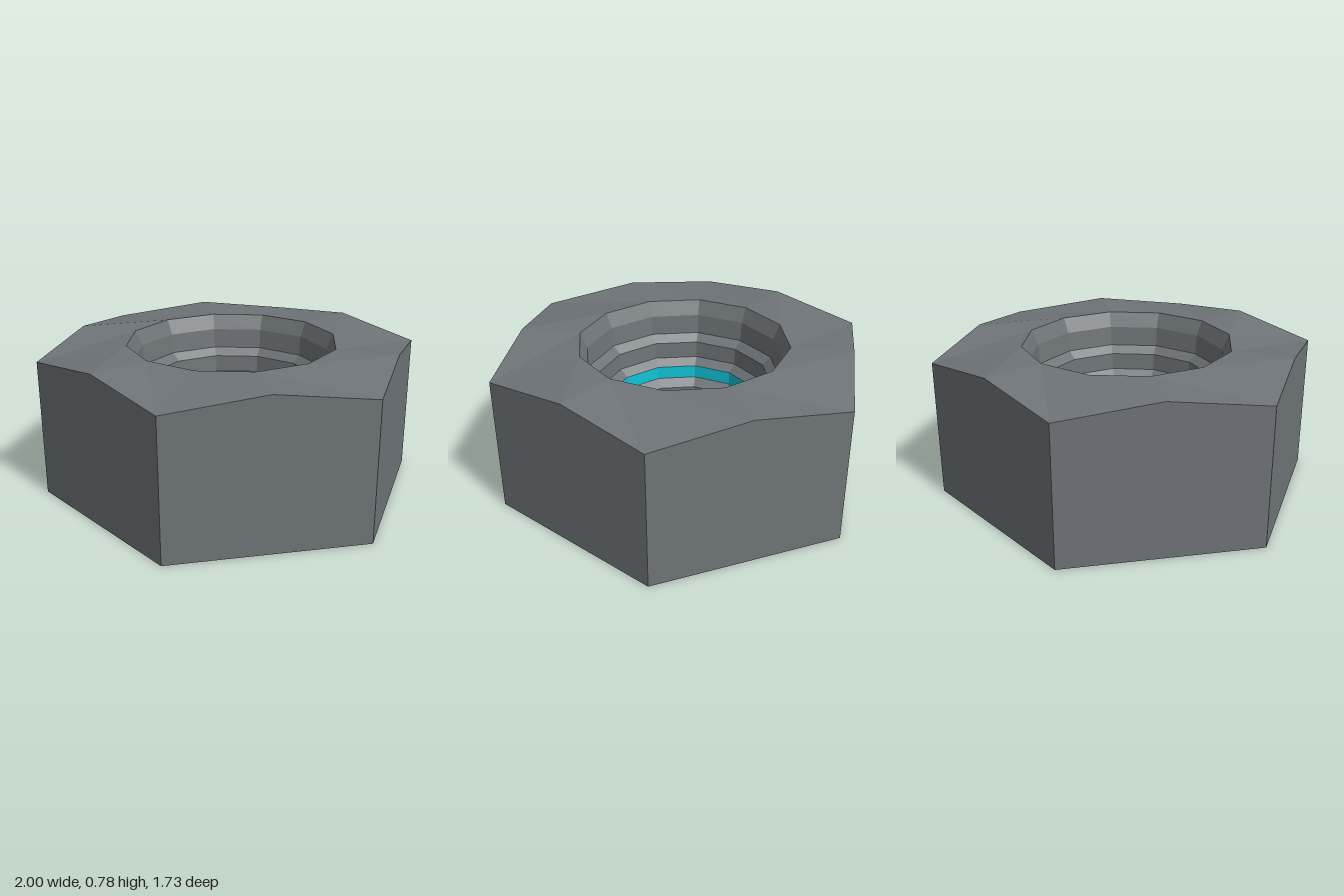
import * as THREE from 'three';

const SIDES = 12;

// Twelve points around the axis; rule(i) gives [radius, height]
function ring(rule) {
  return Array.from({ length: SIDES }, (_, i) => {
    const a = (i / SIDES) * Math.PI * 2;
    const [r, y] = rule(i);
    return [r * Math.cos(a), y, r * Math.sin(a)];
  });
}

// Skin between successive rings
function skin(name, rings, material) {
  const pos = [];
  for (let k = 0; k < rings.length - 1; k++) {
    for (let i = 0; i < SIDES; i++) {
      const j = (i + 1) % SIDES;
      const a = rings[k][i], b = rings[k + 1][i], c = rings[k + 1][j], d = rings[k][j];
      pos.push(...a, ...b, ...c, ...a, ...c, ...d);
    }
  }
  const geo = new THREE.BufferGeometry();
  geo.setAttribute('position', new THREE.Float32BufferAttribute(pos, 3));
  geo.computeVertexNormals();
  const mesh = new THREE.Mesh(geo, material);
  mesh.name = name;
  return mesh;
}

export function createModel() {
  const steel = new THREE.MeshStandardMaterial({ name: 'steel grey', color: 0x6e7478, flatShading: true });
  const cyan = new THREE.MeshStandardMaterial({ name: 'cyan', color: 0x10c4d8, flatShading: true });

  const group = new THREE.Group();
  group.name = 'hexNut';

  // Hexagon: corners on even points, edge middles on odd points
  const flat = Math.sqrt(3) / 2;
  const hexRadius = (i) => (i % 2 ? flat : 1);
  const bottom = ring((i) => [hexRadius(i), 0]);
  const top = ring((i) => [hexRadius(i), i % 2 ? 0.78 : 0.72]);
  const circle = ([r, y]) => ring(() => [r, y]);

  // Stepped bore, narrowing downwards
  const upper = [[0.55, 0.78], [0.515, 0.7], [0.505, 0.595], [0.46, 0.555], [0.455, 0.465], [0.41, 0.427]].map(circle);
  const lower = [[0.41, 0.355], [0.362, 0.315], [0.36, 0.19], [0.315, 0.15], [0.315, 0]].map(circle);
  const rim = upper[0];
  const hole = lower[lower.length - 1];

  group.add(
    skin('hexSides', [bottom, top], steel),
    skin('chamferedTop', [top, rim], steel),
    skin('upperThread', upper, steel),
    skin('lockingRing', [upper[upper.length - 1], lower[0]], cyan),
    skin('lowerThread', lower, steel),
    skin('base', [hole, bottom], steel),
  );
  return group;
}
